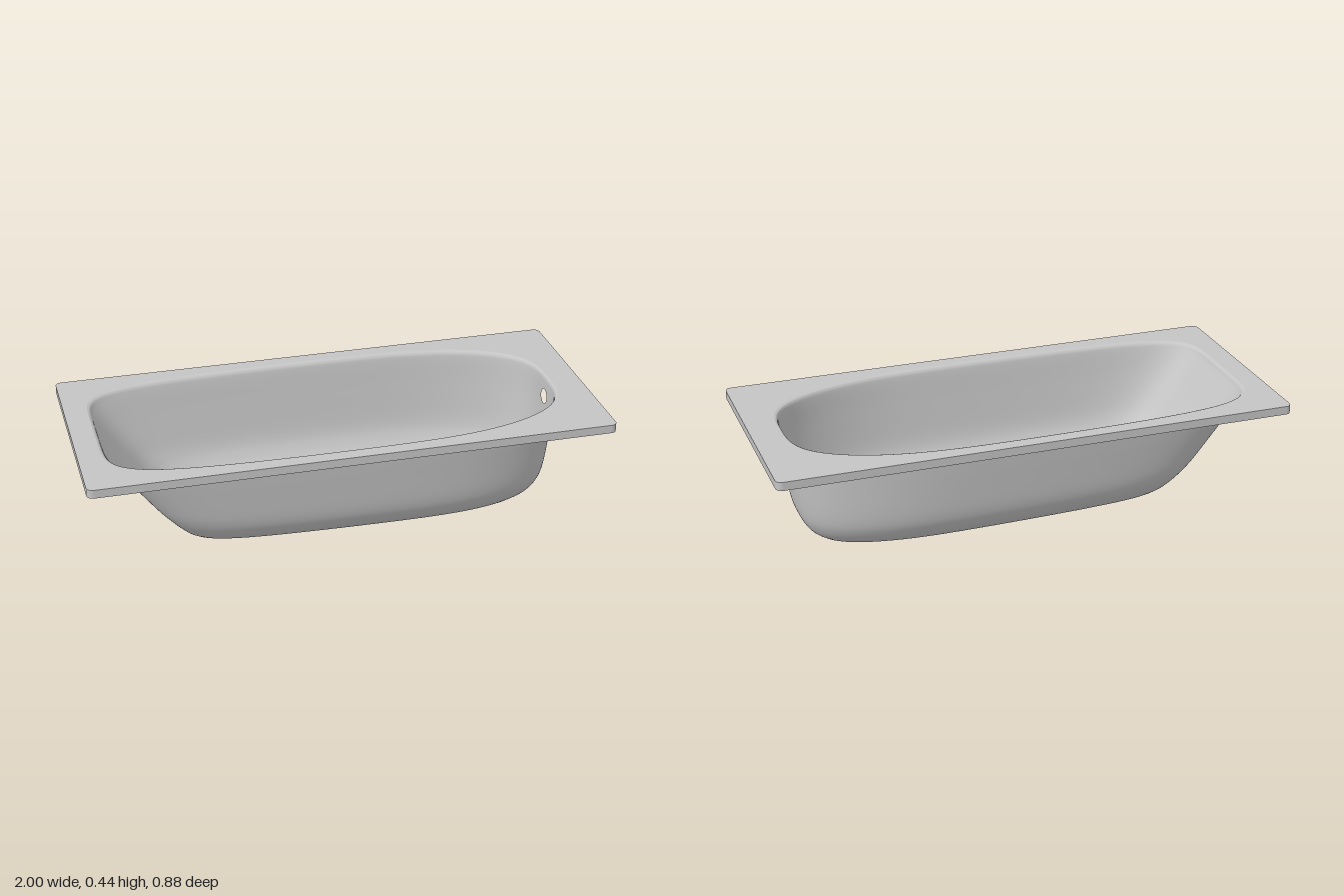
import * as THREE from 'three';

const RIM_Y = 0.444, SKIRT_Y = 0.411, SEGMENTS = 240, STEPS = 90;

// Basin levels from lip to floor centre: [height, foot end x, tap end x, half width]
const LEVELS = [
  [0.444, -0.912, 0.886, 0.387],
  [0.437, -0.902, 0.877, 0.373],
  [0.410, -0.886, 0.873, 0.365],
  [0.300, -0.808, 0.866, 0.352],
  [0.150, -0.695, 0.848, 0.332],
  [0.082, -0.643, 0.825, 0.310],
  [0.038, -0.600, 0.785, 0.275],
  [0.018, -0.545, 0.725, 0.230],
  [0.012, -0.350, 0.500, 0.130],
  [0.012, 0.089, 0.090, 0.0005],
];
const endsCurve = new THREE.CatmullRomCurve3(
  LEVELS.map(([y, l, r]) => new THREE.Vector3(l, y, r)), false, 'catmullrom', 0.5);
const widthCurve = new THREE.CatmullRomCurve3(
  LEVELS.map((k, i) => new THREE.Vector3(k[3], i, 0)), false, 'catmullrom', 0.5);

// One closed ring: squarer at the sloping end, rounder at the tap end
function basinRing(t) {
  const e = endsCurve.getPoint(t), half = widthCurve.getPoint(t).x;
  const centre = (e.x + e.z) / 2, length = (e.z - e.x) / 2;
  const floorWeight = 1 - THREE.MathUtils.smoothstep(e.y, 0.03, 0.2);
  const ring = [];
  for (let j = 0; j < SEGMENTS; j++) {
    const a = j / SEGMENTS * Math.PI * 2, c = Math.cos(a), s = Math.sin(a);
    const n = THREE.MathUtils.lerp(6, 3.2, THREE.MathUtils.smoothstep(c, -0.8, 0.8));
    const r = Math.pow(Math.abs(c) ** n + Math.abs(s) ** n, -1 / n);
    const x = centre + length * r * c;
    const z = half * r * s * (1 - 0.08 * (r * c) ** 2);
    // the floor falls towards the drain and is dished across its width
    const y = e.y + floorWeight * (0.015 * (z / 0.25) ** 2 - 0.014 * x);
    ring.push(new THREE.Vector3(x, y, z));
  }
  return ring;
}

function basinGeometry() {
  const points = [], index = [];
  for (let i = 0; i <= STEPS; i++) points.push(...basinRing(i / STEPS));
  for (let i = 0; i < STEPS; i++) {
    for (let j = 0; j < SEGMENTS; j++) {
      const k = (j + 1) % SEGMENTS;
      const a = i * SEGMENTS + j, b = i * SEGMENTS + k;
      const c = a + SEGMENTS, d = b + SEGMENTS;
      index.push(a, c, b, b, c, d);
    }
  }
  const geometry = new THREE.BufferGeometry().setFromPoints(points);
  geometry.setIndex(index);
  geometry.computeVertexNormals();

  // Overflow hole: push inner vertices out to a circle, drop the faces inside it
  const holeY = 0.365, holeR = 0.03, inside = new Set();
  const pos = geometry.attributes.position;
  points.forEach((p, i) => {
    const dy = p.y - holeY, d = Math.hypot(dy, p.z);
    if (p.x < 0.7 || d >= holeR) return;
    inside.add(i);
    if (d > 1e-5) pos.setXYZ(i, p.x, holeY + dy * holeR / d, p.z * holeR / d);
  });
  const kept = [];
  for (let i = 0; i < index.length; i += 3) {
    const face = index.slice(i, i + 3);
    if (!face.every(v => inside.has(v))) kept.push(...face);
  }
  geometry.setIndex(kept);
  return geometry;
}

function roundedRectangle(w, d, r) {
  const s = new THREE.Shape();
  s.absarc(w - r, d - r, r, 0, Math.PI / 2);
  s.absarc(-w + r, d - r, r, Math.PI / 2, Math.PI);
  s.absarc(-w + r, -d + r, r, Math.PI, Math.PI * 1.5);
  s.absarc(w - r, -d + r, r, Math.PI * 1.5, Math.PI * 2);
  s.closePath();
  return s;
}

// Upright band hanging from the rim outline
function skirtGeometry(outline) {
  const points = outline.getPoints(10), vertices = [], index = [];
  points.forEach((p, i) => {
    vertices.push(p.x, RIM_Y, -p.y, p.x, SKIRT_Y, -p.y);
    if (i) {
      const a = 2 * i - 2;
      index.push(a, a + 1, a + 2, a + 2, a + 1, a + 3);
    }
  });
  const geometry = new THREE.BufferGeometry();
  geometry.setAttribute('position', new THREE.Float32BufferAttribute(vertices, 3));
  geometry.setIndex(index);
  geometry.computeVertexNormals();
  return geometry;
}

export function createModel() {
  const model = new THREE.Group();
  model.name = 'bathtub';
  const enamel = new THREE.MeshStandardMaterial({ color: 0xc4c4c4, side: THREE.DoubleSide });
  enamel.name = 'grey enamel';
  const add = (name, geometry) => {
    const mesh = new THREE.Mesh(geometry, enamel);
    mesh.name = name;
    model.add(mesh);
    return mesh;
  };

  add('basin', basinGeometry());

  // Flat rim with the basin opening cut out
  const outline = roundedRectangle(1, 0.439, 0.025);
  const rimShape = outline.clone();
  rimShape.holes.push(new THREE.Path(basinRing(0).map(p => new THREE.Vector2(p.x, -p.z))));
  const rim = new THREE.ShapeGeometry(rimShape, 10);
  rim.rotateX(-Math.PI / 2);
  add('rim', rim).position.y = RIM_Y;
  add('skirt', skirtGeometry(outline));

  // Drain disc set into the floor
  add('drain', new THREE.CylinderGeometry(0.03, 0.03, 0.005, 32)).position.set(0.49, 0.0055, 0);
  return model;
}
